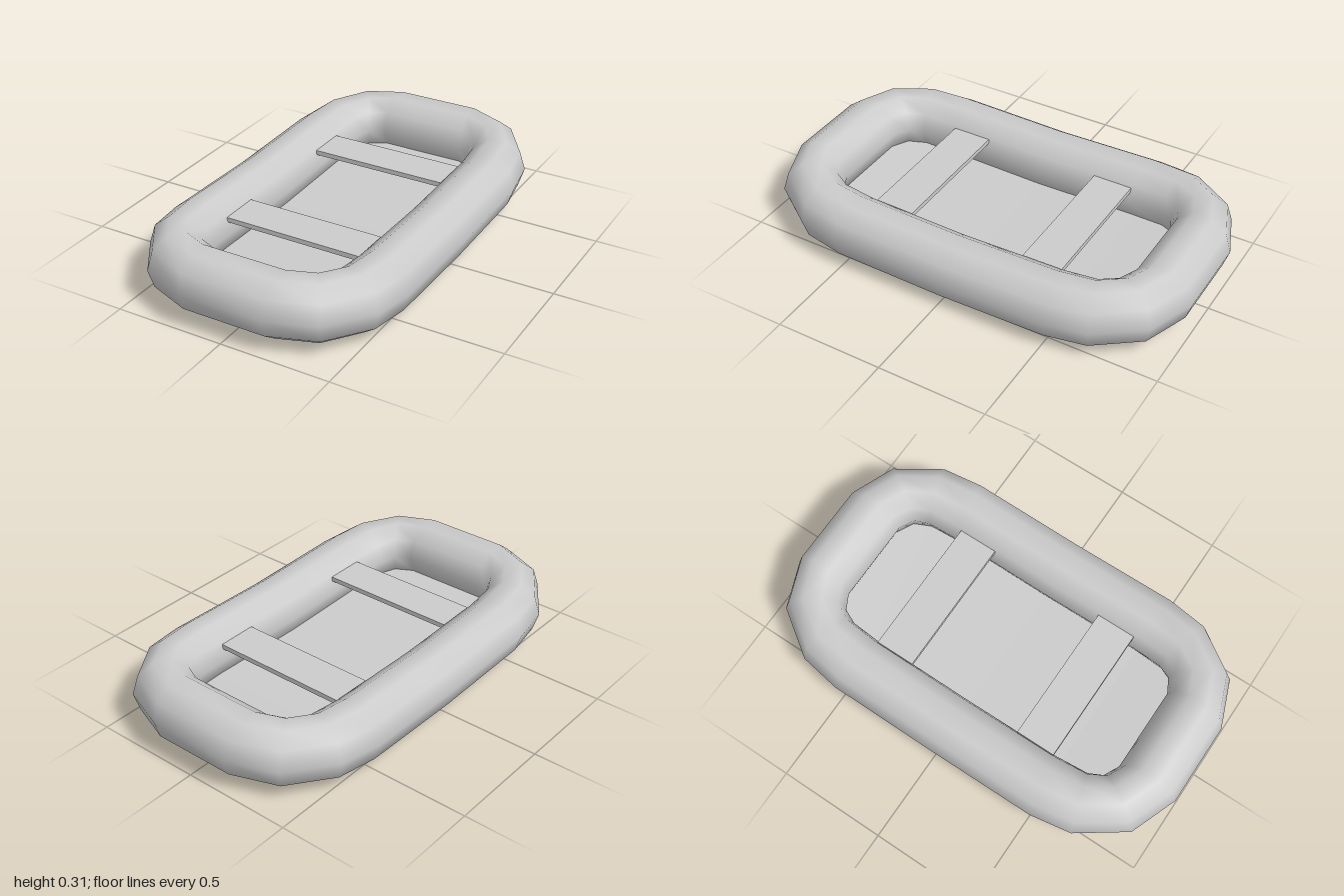
import * as THREE from 'three';

const SIDES = 10, R = 0.1425, BASE = 0.1355;

// quarter of the hull: tube centre (x, z) and outward half-width (dx, dz), from amidships to the end
const quarter = [
  [0.445, 0, 0.14, 0], [0.445, 0.49, 0.14, 0.025], [0.425, 0.663, 0.13, 0.042],
  [0.338, 0.8, 0.072, 0.115], [0.195, 0.86, -0.003, 0.14],
];

// gentle upward sweep towards both ends
const rocker = (z) => 0.035 * (z / 0.86) ** 2;

// skins a list of equal cross-sections, closed into a loop or capped at both ends
function loft(rings, loop) {
  const n = rings[0].length, m = rings.length, index = [];
  for (let i = 0; i < (loop ? m : m - 1); i++) {
    for (let j = 0; j < n; j++) {
      const k = (j + 1) % n, next = (i + 1) % m;
      const a = i * n + j, b = i * n + k, c = next * n + k, d = next * n + j;
      index.push(a, b, c, a, c, d);
    }
  }
  if (!loop) {
    const e = (m - 1) * n;
    for (let j = 1; j < n - 1; j++) index.push(0, j + 1, j, e, e + j, e + j + 1);
  }
  const geometry = new THREE.BufferGeometry();
  geometry.setAttribute('position', new THREE.Float32BufferAttribute(rings.flat(2), 3));
  geometry.setIndex(index);
  geometry.computeVertexNormals();
  return geometry;
}

function hullPath() {
  const mirror = (sx, sz) => quarter.map(([x, z, dx, dz]) => [x * sx, z * sz, dx * sx, dz * sz]);
  return [
    ...mirror(1, 1),
    ...mirror(-1, 1).reverse(),
    ...mirror(-1, -1).slice(1),
    ...mirror(1, -1).slice(1).reverse(),
  ];
}

export function createModel() {
  const group = new THREE.Group();
  const smooth = new THREE.MeshStandardMaterial({ color: 0xcccccc });
  const flat = new THREE.MeshStandardMaterial({ color: 0xcccccc, flatShading: true });
  const add = (name, geometry, material) => {
    const mesh = new THREE.Mesh(geometry, material);
    mesh.name = name;
    group.add(mesh);
    return mesh;
  };

  // inflated ring around the boat
  const rings = hullPath().map(([x, z, dx, dz]) =>
    Array.from({ length: SIDES }, (_, j) => {
      const t = (j / SIDES) * Math.PI * 2, c = Math.cos(t);
      return [x + dx * c, BASE + rocker(z) + R * Math.sin(t), z + dz * c];
    }));
  add('inflatableTube', loft(rings, true), smooth);

  // floor slab following the sweep, its rim buried in the tube just above the underside
  const rows = [
    ...quarter.slice(1).reverse().map(([x, z]) => [x, -z]),
    ...quarter,
  ];
  const slab = rows.map(([x, z]) => {
    const y = rocker(z) + 0.002, top = y + 0.06;
    return [[-x, y, z], [x, y, z], [x, top, z], [-x, top, z]];
  });
  add('floor', loft(slab, false), flat);

  // two bench boards
  for (const [name, z] of [['frontSeat', 0.37], ['rearSeat', -0.37]]) {
    add(name, new THREE.BoxGeometry(0.65, 0.022, 0.185), flat).position.set(0, 0.208, z);
  }
  return group;
}
